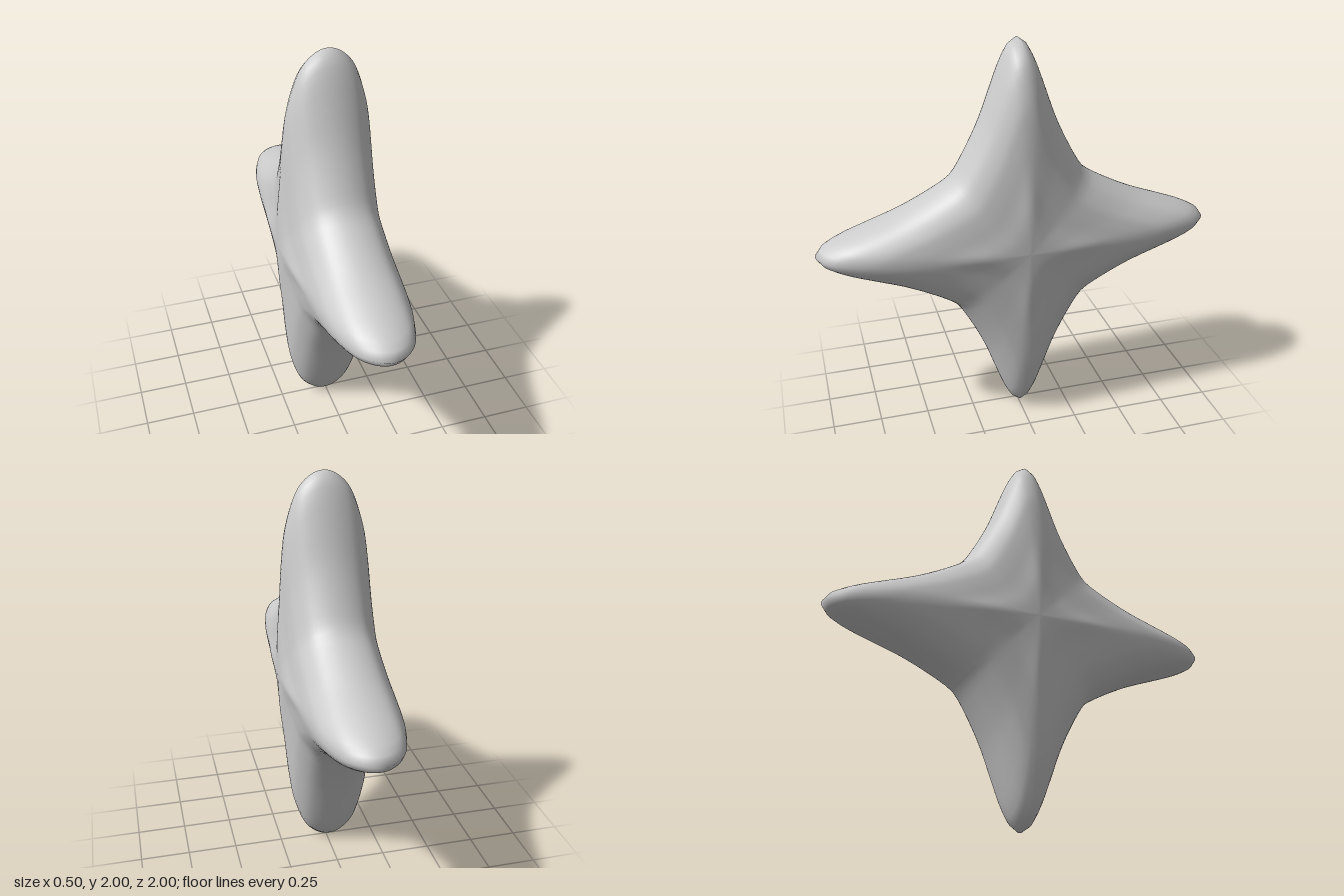
import * as THREE from 'three';
import { mergeVertices } from 'three/addons/utils/BufferGeometryUtils.js';

const SEGMENTS = 128;

// Smooth closed outline of the four-pointed star, running from +y towards +z.
function starOutline() {
  const half = [[0.978, 0.033], [0.9, 0.075], [0.8, 0.113], [0.6, 0.188], [0.4, 0.29]];
  const quarter = [
    [1, 0],
    ...half,
    [0.335, 0.335],
    ...half.map(([a, b]) => [b, a]).reverse(),
  ];
  const points = [];
  for (let q = 0; q < 4; q++) {
    for (const [a, b] of quarter) {
      points.push(new THREE.Vector3(a, b, 0).applyAxisAngle(new THREE.Vector3(0, 0, 1), q * Math.PI / 2));
    }
  }
  return new THREE.CatmullRomCurve3(points, true).getSpacedPoints(SEGMENTS);
}

// Half cross-section through one arm: distance from the centre, half thickness.
function armProfile() {
  const upper = [[0.2, 0.242], [0.4, 0.223], [0.6, 0.206], [0.75, 0.184], [0.9, 0.134], [0.975, 0.07]];
  const points = [
    [0, -0.248],
    ...upper.map(([r, x]) => [r, -x]),
    [1, 0],
    ...[...upper].reverse(),
    [0, 0.248],
  ].map(([r, x]) => new THREE.Vector2(r, x));
  const profile = new THREE.SplineCurve(points).getPoints(56);
  profile.forEach((p) => { p.x = Math.max(0, p.x); });
  return profile;
}

export function createModel() {
  const group = new THREE.Group();
  group.name = 'fourPointedStar';

  // Revolve the profile, then stretch every meridian to the star outline.
  const outline = starOutline();
  const profile = armProfile();
  let geometry = new THREE.LatheGeometry(profile, SEGMENTS);
  const pos = geometry.attributes.position;
  for (let k = 0; k < pos.count; k++) {
    const edge = outline[Math.floor(k / profile.length)];
    const p = profile[k % profile.length];
    const y = p.x * edge.x;
    const z = p.x * edge.y;
    // The arms lean very slightly sideways.
    pos.setXYZ(k, p.y + 0.012 * (y - z), y + 1, z);
  }

  // Weld the seam and poles for continuous smooth shading.
  geometry.deleteAttribute('uv');
  geometry.deleteAttribute('normal');
  geometry = mergeVertices(geometry, 1e-5);
  geometry.computeVertexNormals();

  const star = new THREE.Mesh(geometry, new THREE.MeshStandardMaterial({ color: 0xcccccc }));
  star.name = 'starBody';
  group.add(star);
  return group;
}
